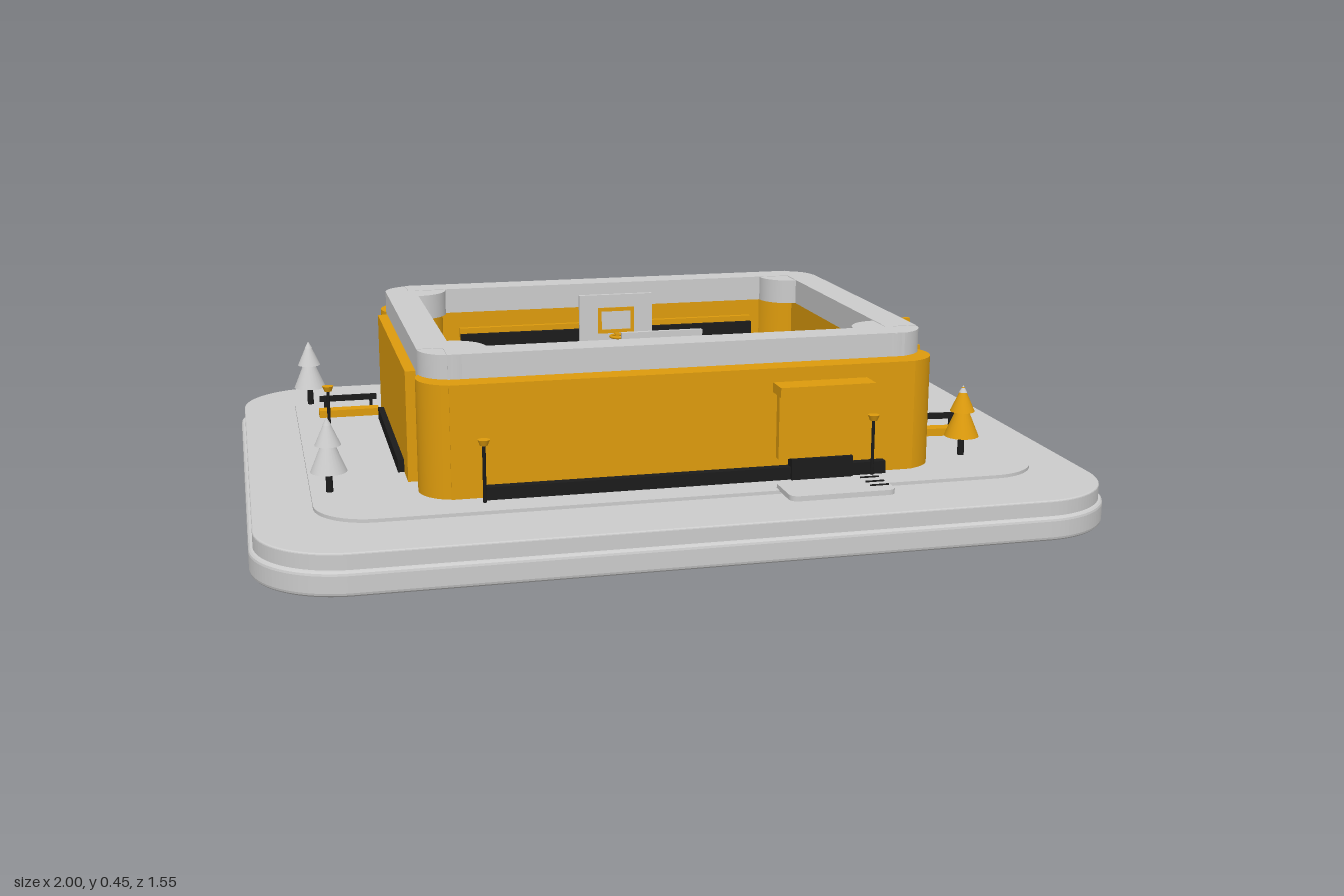
import * as THREE from 'three';

const mat = (color) => new THREE.MeshStandardMaterial({ color });

export function createModel() {
  const root = new THREE.Group();
  const grey = mat(0xcccccc), orange = mat(0xdd9b0d), black = mat(0x1b1b1b);

  const add = (name, geo, m, x = 0, y = 0, z = 0, parent = root) => {
    const mesh = new THREE.Mesh(geo, m);
    mesh.name = name;
    mesh.position.set(x, y, z);
    parent.add(mesh);
    return mesh;
  };
  // Box given by its limits on each axis
  const box = (name, m, x0, x1, y0, y1, z0, z1, parent = root) =>
    add(name, new THREE.BoxGeometry(x1 - x0, y1 - y0, z1 - z0), m,
      (x0 + x1) / 2, (y0 + y1) / 2, (z0 + z1) / 2, parent);
  const cyl = (name, m, r0, r1, y0, y1, x, z, parent = root, sides = 24) =>
    add(name, new THREE.CylinderGeometry(r1, r0, y1 - y0, sides), m, x, (y0 + y1) / 2, z, parent);

  // Flat slab with rounded corners, lying in the xz plane
  const slab = (name, m, hx, hz, r, y0, y1, bevel = 0, cx = 0, cz = 0) => {
    const a = hx - bevel, b = hz - bevel, q = r - bevel;
    const s = new THREE.Shape();
    s.moveTo(-a + q, -b);
    s.lineTo(a - q, -b);
    s.absarc(a - q, -b + q, q, -Math.PI / 2, 0);
    s.absarc(a - q, b - q, q, 0, Math.PI / 2);
    s.absarc(-a + q, b - q, q, Math.PI / 2, Math.PI);
    s.absarc(-a + q, -b + q, q, Math.PI, Math.PI * 1.5);
    const geo = new THREE.ExtrudeGeometry(s, {
      depth: y1 - y0 - 2 * bevel, bevelEnabled: bevel > 0, bevelSize: bevel,
      bevelThickness: bevel, bevelSegments: 3, curveSegments: 14,
    });
    geo.rotateX(-Math.PI / 2);
    return add(name, geo, m, cx, y0 + bevel, cz);
  };

  // Layered base and plaza
  slab('baseFoot', grey, 0.95, 0.72, 0.17, 0, 0.03);
  slab('baseLower', grey, 1, 0.773, 0.21, 0.012, 0.07, 0.01);
  slab('baseUpper', grey, 0.99, 0.763, 0.2, 0.065, 0.107, 0.004);
  slab('plaza', grey, 0.855, 0.615, 0.13, 0.122, 0.13);
  box('courtFoundation', black, -0.48, 0.48, 0.1, 0.124, -0.25, 0.25);
  box('courtFloor', grey, -0.53, 0.53, 0.128, 0.134, -0.4, 0.4);

  // Walls, roof beams, skirting and stands, mirrored front to back
  for (const s of [-1, 1]) {
    const span = (name, m, hx, y0, y1, za, zb) =>
      box(name, m, -hx, hx, y0, y1, Math.min(s * za, s * zb), Math.max(s * za, s * zb));
    span('longWall', orange, 0.55, 0.128, 0.393, 0.4, 0.515);
    span('longRoofBeam', grey, 0.545, 0.385, 0.45, 0.378, 0.457);
    span('longSkirting', black, 0.475, 0.13, 0.16, 0.51, 0.537);
    span('standBack', black, 0.41, 0.13, 0.33, 0.338, 0.352);
    span('standRail', orange, 0.41, 0.32, 0.345, 0.352, 0.366);
    span('standUpperSeat', orange, 0.41, 0.24, 0.255, 0.322, 0.338);
    span('standLowerSeat', orange, 0.41, 0.18, 0.2, 0.28, 0.31);
    span('courtBarrier', black, 0.43, 0.13, 0.18, 0.245, 0.28);
  }

  // The same parts on the short sides
  for (const s of [-1, 1]) {
    const span = (name, m, hz, y0, y1, xa, xb) =>
      box(name, m, Math.min(s * xa, s * xb), Math.max(s * xa, s * xb), y0, y1, -hz, hz);
    span('shortWall', orange, 0.35, 0.128, 0.393, 0.53, 0.63);
    span('shortRoofBeam', grey, 0.378, 0.385, 0.45, 0.526, 0.605);
    span('shortSkirting', black, 0.265, 0.13, 0.16, 0.625, 0.645);
    span('sideSeat', orange, 0.265, 0.18, 0.2, 0.447, 0.47);
    span('sideBarrier', black, 0.265, 0.13, 0.18, 0.41, 0.437);
    span('playerBench', orange, 0.195, 0.134, 0.155, 0.355, 0.385);
  }

  // Round corner towers with roof caps
  for (const x of [-1, 1]) for (const z of [-1, 1]) {
    cyl('cornerTower', orange, 0.085, 0.085, 0.128, 0.393, x * 0.53, z * 0.43, root, 40);
    cyl('cornerRoof', grey, 0.08, 0.08, 0.385, 0.449, x * 0.525, z * 0.378, root, 40);
  }

  // Basketball hoops facing each other
  for (const s of [-1, 1]) {
    const hoop = new THREE.Group();
    hoop.name = 'hoop';
    hoop.position.z = s * 0.255;
    hoop.rotation.y = s < 0 ? 0 : Math.PI;
    root.add(hoop);
    cyl('hoopPole', grey, 0.006, 0.006, 0.13, 0.34, 0, -0.008, hoop, 10);
    box('backboard', grey, -0.1, 0.1, 0.31, 0.44, -0.006, 0.006, hoop);
    for (const e of [-1, 1]) {
      box('targetSide', orange, e * 0.045 - 0.005, e * 0.045 + 0.005, 0.335, 0.4, 0.005, 0.009, hoop);
      box('targetBar', orange, -0.05, 0.05, 0.365 + e * 0.03, 0.375 + e * 0.03, 0.005, 0.009, hoop);
    }
    box('rimBracket', orange, -0.006, 0.006, 0.328, 0.336, 0, 0.025, hoop);
    const rim = add('rim', new THREE.TorusGeometry(0.022, 0.004, 8, 24), orange, 0, 0.332, 0.04, hoop);
    rim.rotation.x = Math.PI / 2;
  }

  // Entrance with canopy, doorway and rounded landing
  box('entrancePanel', orange, 0.21, 0.39, 0.18, 0.335, 0.51, 0.535);
  box('entranceDoor', black, 0.24, 0.39, 0.13, 0.18, 0.51, 0.545);
  box('entranceCanopy', orange, 0.2, 0.43, 0.337, 0.36, 0.51, 0.575);
  slab('entranceLanding', grey, 0.126, 0.062, 0.02, 0.128, 0.14, 0, 0.314, 0.638);
  for (const z of [0.595, 0.63, 0.66]) box('landingGroove', black, 0.39, 0.435, 0.138, 0.143, z - 0.002, z + 0.002);

  // Sign on two posts
  const sign = new THREE.Group();
  sign.name = 'sign';
  sign.position.set(0.778, 0, -0.253);
  sign.rotation.y = 0.06;
  root.add(sign);
  box('signBoard', orange, -0.073, 0.073, 0.27, 0.337, -0.007, 0.007, sign);
  box('signMark', black, 0.02, 0.05, 0.305, 0.312, 0.005, 0.009, sign);
  for (const x of [-0.045, 0.045]) cyl('signPost', black, 0.004, 0.004, 0.107, 0.28, x, 0, sign, 8);

  // Outdoor benches: low seat with a dark back rail
  for (const [x, z, flip, turn] of [[-0.72, -0.293, -1, 0], [0.705, 0.252, -1, -0.1]]) {
    const bench = new THREE.Group();
    bench.name = 'bench';
    bench.position.set(x, 0, z);
    bench.rotation.y = turn;
    root.add(bench);
    box('benchSeat', orange, -0.078, 0.078, 0.138, 0.157, -0.012, 0.024, bench);
    box('benchBack', black, -0.075, 0.075, 0.172, 0.187, flip * 0.02 - 0.004, flip * 0.02 + 0.004, bench);
    for (const e of [-1, 1]) box('benchLeg', black, e * 0.06 - 0.004, e * 0.06 + 0.004, 0.122, 0.175, -0.022, -0.014, bench);
  }

  // Trees with two stacked cones
  for (const [x, z, m] of [[0.81, -0.413, orange], [0.715, 0.425, orange], [-0.812, -0.47, grey], [-0.812, 0.385, grey]]) {
    cyl('treeTrunk', black, 0.009, 0.007, 0.107, 0.19, x, z, root, 12);
    cyl('treeLower', m, 0.042, 0.012, 0.178, 0.25, x, z);
    cyl('treeUpper', m, 0.03, 0.003, 0.24, 0.3, x, z);
    cyl('treeTip', grey, 0.01, 0, 0.287, 0.305, x, z);
  }

  // Lamp posts
  for (const [x, z] of [[-0.435, -0.57], [0.485, -0.56], [-0.785, -0.05], [0.777, 0.018], [-0.48, 0.55], [0.44, 0.54]]) {
    cyl('lampPost', black, 0.004, 0.004, 0.107, 0.265, x, z, root, 8);
    cyl('lampHead', orange, 0.009, 0.014, 0.262, 0.275, x, z, root, 16);
  }

  return root;
}
